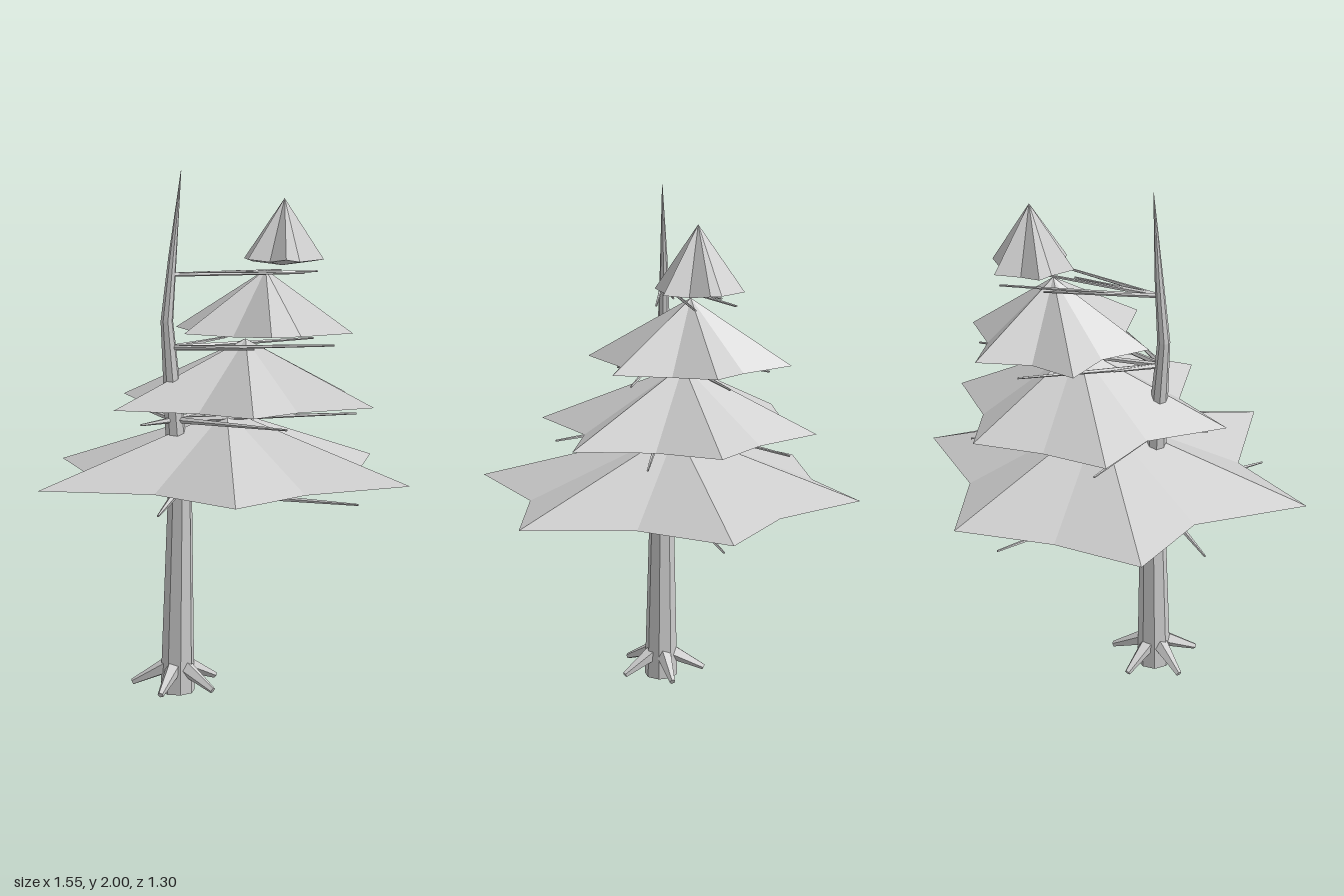
import * as THREE from 'three';

const Z0 = -0.03; // depth of the tree's axis

function flatGeometry(triangles) {
  const g = new THREE.BufferGeometry();
  g.setAttribute('position', new THREE.Float32BufferAttribute(triangles.flat(2), 3));
  g.computeVertexNormals();
  return g;
}

// Star-shaped canopy tier: an apex above, a 12-point rim and a shallow underside
function tierGeometry(apex, rimY, bottom, rim) {
  const pts = rim.map(([x, z], i) => [x, rimY - (i % 2) * 0.01, z]);
  const tris = [];
  pts.forEach((a, i) => {
    const b = pts[(i + 1) % pts.length];
    tris.push([apex, b, a], [bottom, a, b]);
  });
  return flatGeometry(tris);
}

// Trunk skinned over horizontal rings given as [x, y, z, radius]
function trunkGeometry(rings, sides) {
  const loops = rings.map(([x, y, z, r]) => Array.from({ length: sides }, (_, i) => {
    const t = ((i + 0.5) / sides) * Math.PI * 2;
    return [x + r * Math.cos(t), y, z + r * Math.sin(t)];
  }));
  const tris = [];
  for (let i = 0; i < sides; i++) {
    const j = (i + 1) % sides;
    for (let k = 0; k + 1 < loops.length; k++) {
      const lo = loops[k], hi = loops[k + 1];
      tris.push([hi[i], lo[j], lo[i]], [hi[i], hi[j], lo[j]]);
    }
    tris.push([rings[0].slice(0, 3), loops[0][i], loops[0][j]]);
  }
  return flatGeometry(tris);
}

export function createModel() {
  const model = new THREE.Group();
  model.name = 'pineTree';
  const grey = new THREE.MeshStandardMaterial({ color: 0xcccccc, flatShading: true });
  grey.name = 'pale grey';

  const add = (name, geometry, parent = model) => {
    const mesh = new THREE.Mesh(geometry, grey);
    mesh.name = name;
    parent.add(mesh);
    return mesh;
  };
  const group = (name) => {
    const g = new THREE.Group();
    g.name = name;
    model.add(g);
    return g;
  };
  // Tapered rod between two points
  const rod = (name, from, to, r0, r1, sides, parent) => {
    const a = new THREE.Vector3(...from), b = new THREE.Vector3(...to);
    const dir = b.clone().sub(a);
    const mesh = add(name, new THREE.CylinderGeometry(r1, r0, dir.length(), sides), parent);
    mesh.position.copy(a).add(b).multiplyScalar(0.5);
    mesh.quaternion.setFromUnitVectors(new THREE.Vector3(0, 1, 0), dir.normalize());
  };

  // Bent trunk tapering to a spike
  add('trunk', trunkGeometry([
    [-0.18, 0, Z0, 0.067], [-0.165, 0.78, Z0, 0.047], [-0.185, 1.1, -0.04, 0.036],
    [-0.208, 1.44, -0.05, 0.024], [-0.185, 1.68, -0.045, 0.016], [-0.155, 2, Z0, 0.001],
  ], 8));

  // Five spreading roots
  const roots = group('roots');
  for (let i = 0; i < 5; i++) {
    const t = (i / 5) * Math.PI * 2, c = Math.cos(t), s = Math.sin(t);
    rod('root', [-0.18 + 0.03 * c, 0.105, Z0 + 0.03 * s],
      [-0.18 + 0.175 * c, 0.033, Z0 + 0.175 * s], 0.034, 0.012, 5, roots);
  }

  // Four whorls of thin branches reaching from the trunk to a circle below each tier
  const branches = group('branches');
  [
    { y: 0.79, start: -0.165, cx: 0.02, r: 0.64, turn: 0, thick: 0.018 },
    { y: 1.065, start: -0.183, cx: 0.1, r: 0.47, turn: 30, thick: 0.013 },
    { y: 1.34, start: -0.2, cx: 0.225, r: 0.3, turn: 60, thick: 0.011 },
    { y: 1.615, start: -0.19, cx: 0.31, r: 0.15, turn: 90, thick: 0.008 },
  ].forEach(({ y, start, cx, r, turn, thick }) => {
    for (let i = 0; i < 5; i++) {
      const t = THREE.MathUtils.degToRad(turn + i * 72);
      rod('branch', [start, y, -0.04],
        [cx + r * Math.cos(t), y, Z0 + r * Math.sin(t)], thick, 0.004, 5, branches);
    }
  });

  // Four canopy tiers; rims alternate tip and notch as [x, z]
  const canopy = group('canopy');
  [
    {
      apex: [0.05, 1.09, Z0], rimY: 0.85, bottom: [0, 0.82, Z0],
      rim: [[0.775, Z0], [0.49, 0.24], [0.405, 0.65], [0.01, 0.535], [-0.375, 0.65], [-0.435, 0.22],
        [-0.775, Z0], [-0.42, -0.29], [-0.34, -0.645], [0.01, -0.6], [0.38, -0.655], [0.485, -0.3]],
    },
    {
      apex: [0.14, 1.36, Z0], rimY: 1.12, bottom: [0.1, 1.09, Z0],
      rim: [[0.635, Z0], [0.45, 0.16], [0.394, 0.45], [0.115, 0.345], [-0.16, 0.45], [-0.205, 0.16],
        [-0.455, Z0], [-0.205, -0.215], [-0.145, -0.48], [0.115, -0.44], [0.377, -0.475], [0.45, -0.23]],
    },
    {
      apex: [0.235, 1.625, Z0], rimY: 1.39, bottom: [0.215, 1.365, Z0],
      rim: [[0.573, Z0], [0.45, 0.1], [0.405, 0.305], [0.215, 0.23], [0.023, 0.305], [-0.005, 0.095],
        [-0.145, Z0], [-0.005, -0.155], [0.027, -0.355], [0.215, -0.29], [0.41, -0.36], [0.45, -0.165]],
    },
    {
      apex: [0.325, 1.9, Z0], rimY: 1.665, bottom: [0.315, 1.64, Z0],
      rim: [[0.48, Z0], [0.42, 0.03], [0.405, 0.12], [0.315, 0.085], [0.235, 0.105], [0.215, 0.025],
        [0.15, Z0], [0.215, -0.09], [0.23, -0.17], [0.315, -0.145], [0.405, -0.18], [0.42, -0.09]],
    },
  ].forEach(({ apex, rimY, bottom, rim }) => {
    add('canopyTier', tierGeometry(apex, rimY, bottom, rim), canopy);
  });

  return model;
}
